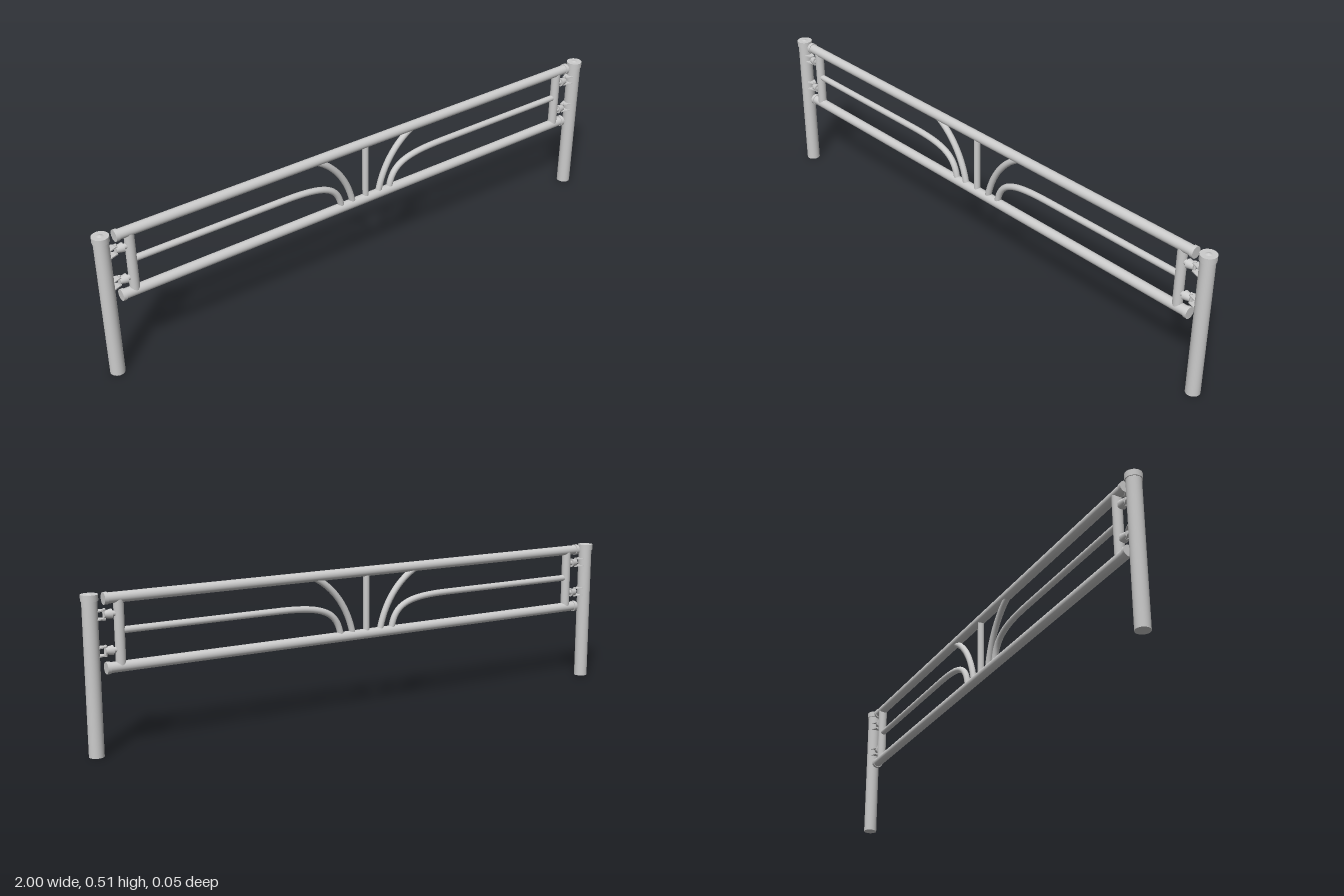
import * as THREE from 'three';

const material = new THREE.MeshStandardMaterial({ color: 0xcccccc });
const v = (x, y) => new THREE.Vector3(x, y, 0);

function add(parent, name, geometry, x = 0, y = 0, z = 0) {
  const mesh = new THREE.Mesh(geometry, material);
  mesh.name = name;
  mesh.position.set(x, y, z);
  parent.add(mesh);
  return mesh;
}

// Upright cylinder between two heights
function upright(parent, name, r, x, y0, y1, sides = 24) {
  return add(parent, name, new THREE.CylinderGeometry(r, r, y1 - y0, sides), x, (y0 + y1) / 2);
}

// Cylinder along x, centred on x
function crossBar(parent, name, r, x, y, length) {
  const bar = add(parent, name, new THREE.CylinderGeometry(r, r, length, 24), x, y);
  bar.rotation.z = Math.PI / 2;
  return bar;
}

function bentTube(parent, name, curve, r, steps) {
  return add(parent, name, new THREE.TubeGeometry(curve, steps, r, 14));
}

// Horizontal plate from an outline in x and z
function plate(outline, thickness) {
  const shape = new THREE.Shape(outline.map(([x, z]) => new THREE.Vector2(x, z)));
  const g = new THREE.ExtrudeGeometry(shape, { depth: thickness, bevelEnabled: false });
  g.translate(0, 0, -thickness / 2);
  g.rotateX(Math.PI / 2);
  return g;
}

const RAILS = [0.49, 0.274];
const RAIL_R = 0.017;
const POST_X = 0.973;

// Forked lug on the post, pinned to a tapered knuckle on the frame
function createBracket(side, y) {
  const bracket = new THREE.Group();
  bracket.name = 'bracket';
  bracket.position.y = y;
  const outline = [[0.955, -0.018], [0.955, 0.018], [0.926, 0.007], [0.926, -0.007]]
    .map(([x, z]) => [x * side, z]);
  for (const dy of [-0.013, 0.013]) add(bracket, 'lugPlate', plate(outline, 0.004), 0, dy);
  upright(bracket, 'hingePin', 0.005, side * 0.929, -0.018, 0.018, 12);
  const knuckle = add(bracket, 'knuckle', new THREE.CylinderGeometry(0.011, 0.016, 0.024, 16), side * 0.918, 0);
  knuckle.rotation.z = -side * Math.PI / 2;
  crossBar(bracket, 'knuckleStem', 0.009, side * 0.9, 0, 0.03);
  return bracket;
}

function createSide(side) {
  const group = new THREE.Group();
  group.name = side > 0 ? 'leftSide' : 'rightSide';

  // Post with a shallow pointed cap
  upright(group, 'post', 0.024, side * POST_X, 0, 0.49, 32);
  upright(group, 'postCap', 0.027, side * POST_X, 0.487, 0.507, 32);
  add(group, 'postCapPoint', new THREE.ConeGeometry(0.012, 0.004, 24), side * POST_X, 0.5085);

  // Frame end
  upright(group, 'frameUpright', 0.016, side * 0.882, RAILS[1], RAILS[0]);
  for (const y of RAILS) crossBar(group, 'railEndCap', 0.0195, side * 0.924, y, 0.012);
  for (const y of [0.441, 0.328]) group.add(createBracket(side, y));

  // Middle rail, straight and then sweeping down to the bottom rail
  const middle = new THREE.CurvePath();
  middle.add(new THREE.LineCurve3(v(side * 0.882, 0.387), v(side * 0.34, 0.387)));
  middle.add(new THREE.CubicBezierCurve3(v(side * 0.34, 0.387), v(side * 0.17, 0.387),
    v(side * 0.115, 0.365), v(side * 0.102, 0.28)));
  bentTube(group, 'middleRail', middle, 0.011, 72);

  // Arc fanning out to the top rail
  const arc = new THREE.CubicBezierCurve3(v(side * 0.055, 0.28), v(side * 0.073, 0.37),
    v(side * 0.125, 0.445), v(side * 0.2, 0.484));
  bentTube(group, 'fanArc', arc, 0.011, 28);
  return group;
}

export function createModel() {
  const model = new THREE.Group();
  model.name = 'barrier';
  crossBar(model, 'topRail', RAIL_R, 0, RAILS[0], 1.85);
  crossBar(model, 'bottomRail', RAIL_R, 0, RAILS[1], 1.85);
  upright(model, 'centreBar', 0.011, 0, RAILS[1], RAILS[0], 16);
  for (const side of [1, -1]) model.add(createSide(side));
  return model;
}
